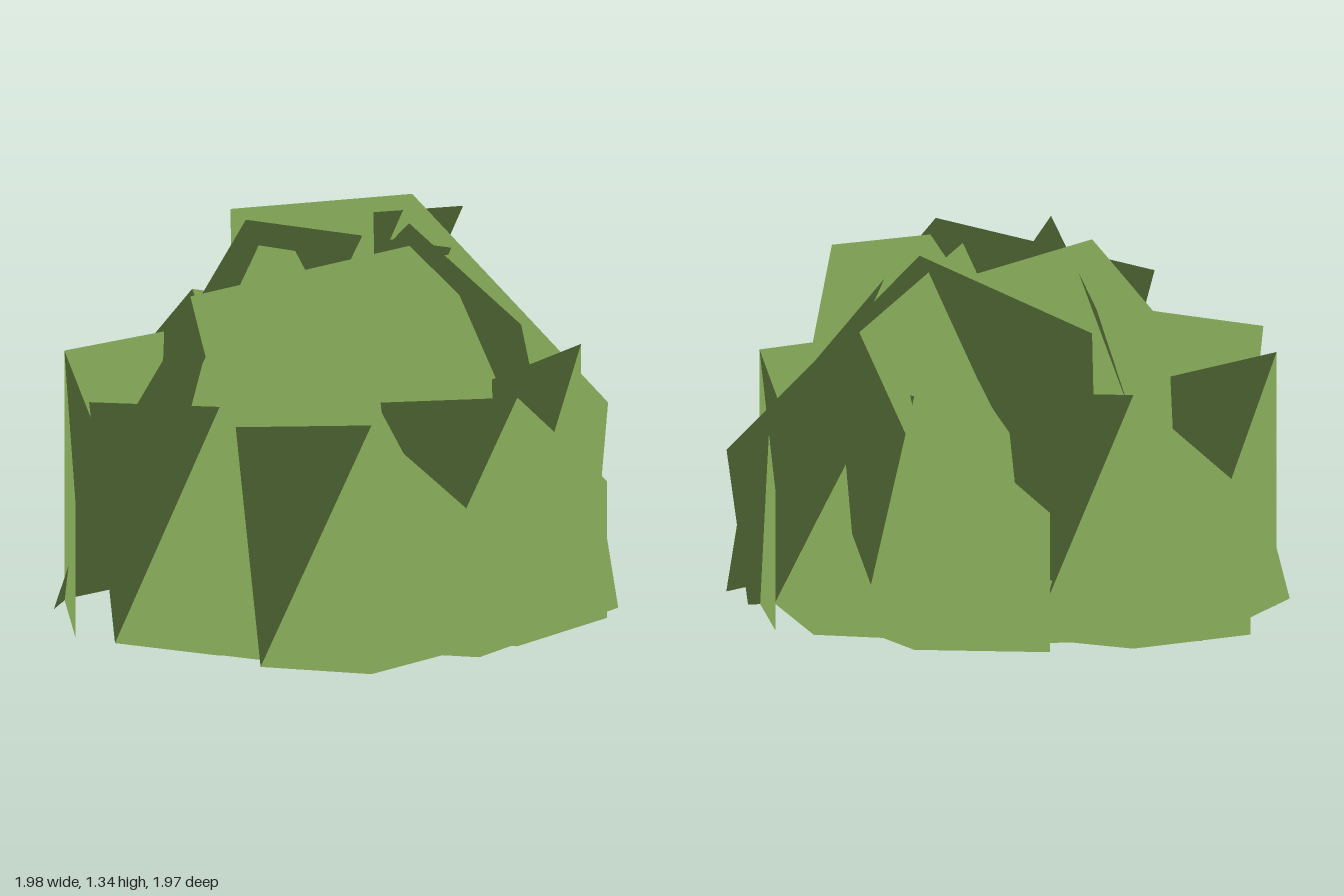
import * as THREE from 'three';

// A folded foliage card: two quads sharing the fold between bottomMid and topMid.
// Corner order: bottomLeft, bottomMid, bottomRight, topRight, topMid, topLeft
function foldedCard(corners) {
  const g = new THREE.BufferGeometry();
  g.setAttribute('position', new THREE.Float32BufferAttribute(corners.flat(), 3));
  // Foliage is shaded as one soft mass, so every normal points up
  g.setAttribute('normal', new THREE.Float32BufferAttribute(corners.flatMap(() => [0, 1, 0]), 3));
  g.setIndex([0, 1, 4, 0, 4, 5, 1, 2, 3, 1, 3, 4]);
  return g;
}

export function createModel() {
  const bush = new THREE.Group();
  bush.name = 'bush';
  const leaves = new THREE.MeshStandardMaterial({ color: 0x7a9a50, side: THREE.DoubleSide });

  // Upright card, origin at the foot of its fold
  const skirtCard = foldedCard([
    [-0.40, 0, -0.01], [0, 0, 0], [0.27, 0, -0.395],
    [0.27, 0.5, -0.395], [0, 0.91, 0], [-0.48, 0.885, 0.035],
  ]);

  // Larger card leaning inwards, origin below the top of its fold, cut at the ground
  const crownCard = foldedCard([
    [-0.47, 0, 0.42], [0.233, 0, 0.576], [0.735, 0, -0.04],
    [0.635, 0.61, -0.29], [0, 1.34, 0], [-0.77, 1.16, 0],
  ]);

  // Each placement: x, z, turn in degrees
  const place = (name, geometry, placements) => {
    const ring = new THREE.Group();
    ring.name = name + 'Ring';
    placements.forEach(([x, z, turn], i) => {
      const card = new THREE.Mesh(geometry, leaves);
      card.name = name + 'Card' + (i + 1);
      card.position.set(x, 0, z);
      card.rotation.y = THREE.MathUtils.degToRad(turn);
      ring.add(card);
    });
    bush.add(ring);
  };

  // Outer ring of upright foliage
  place('skirt', skirtCard, [
    [0.31, 0.95, 0], [0.74, 0.5, 5], [0.82, -0.21, 57], [0.075, -0.84, 135.4],
    [-0.66, -0.61, 171], [-0.94, 0.245, -129.2], [-0.26, 0.83, -10],
  ]);

  // Leaning foliage forming the rounded top
  place('crown', crownCard, [
    [0.28, 0.155, 13.1], [-0.10, 0.30, -62.1], [0.22, -0.125, 132.6],
    [0.07, -0.235, -102.3], [0.155, -0.49, -22.2], [-0.35, -0.05, -147.8],
  ]);

  return bush;
}
